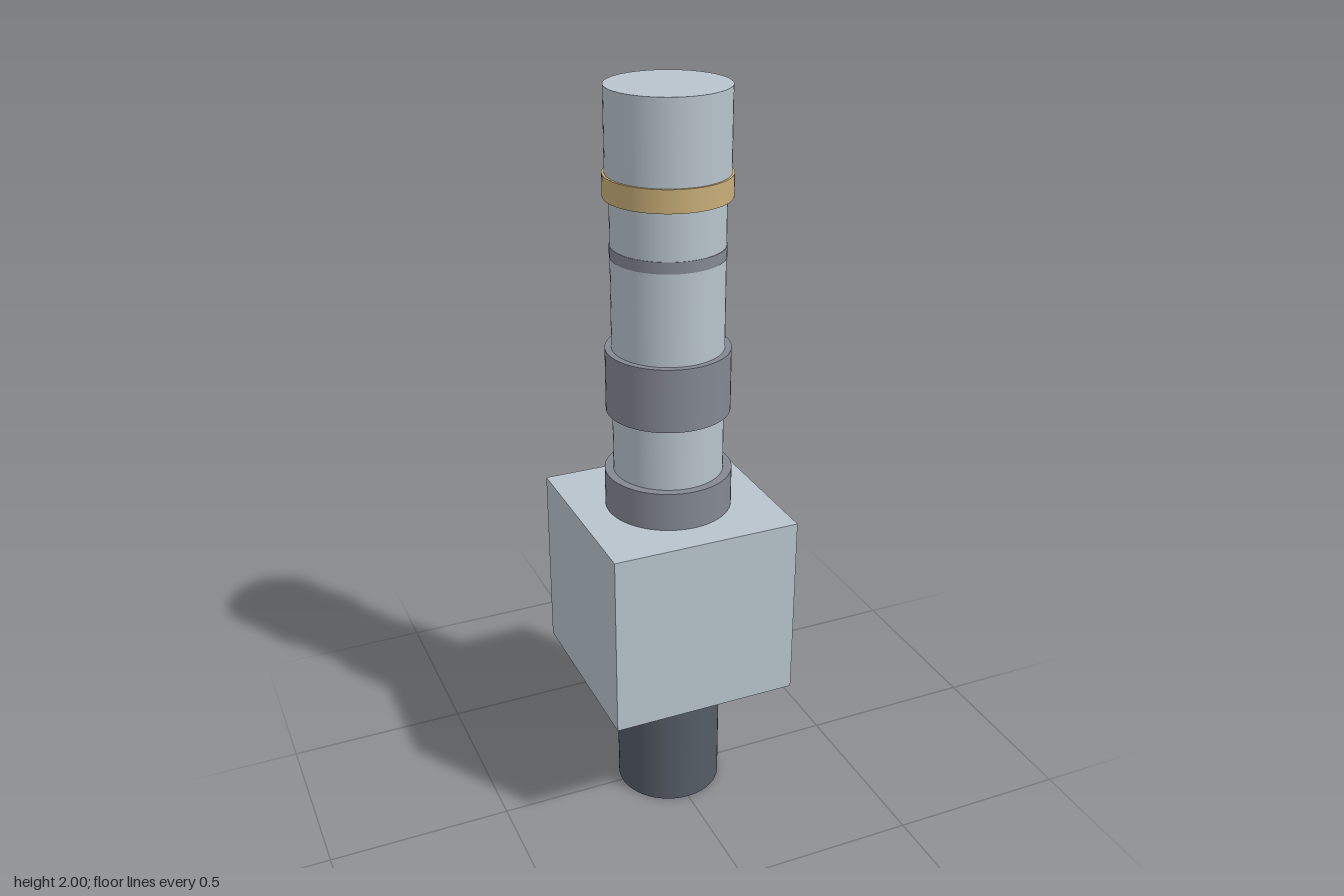
import * as THREE from 'three';

export function createModel() {
  const model = new THREE.Group();
  const mat = (color) => new THREE.MeshStandardMaterial({ color });
  const steel = mat(0xb8c4cc);
  const grey = mat(0x838892);
  const dark = mat(0x555c66);
  const brass = mat(0xc8ae78);

  const add = (name, geometry, material, y) => {
    const mesh = new THREE.Mesh(geometry, material);
    mesh.name = name;
    mesh.position.y = y;
    model.add(mesh);
  };

  // Upright round sections: name, radius, bottom, top, material
  const sections = [
    ['lowerShaft', 0.145, 0, 0.385, dark],
    ['baseCollar', 0.168, 0.895, 1.0, grey],
    ['barrel', 0.145, 0.895, 1.79, steel],
    ['gripRing', 0.162, 1.17, 1.34, grey],
    ['markerBand', 0.1465, 1.58, 1.61, grey],
    ['brassRing', 0.161, 1.732, 1.79, brass],
    ['headCap', 0.155, 1.785, 2.0, steel],
  ];
  for (const [name, r, y0, y1, material] of sections) {
    add(name, new THREE.CylinderGeometry(r, r, y1 - y0, 64), material, (y0 + y1) / 2);
  }

  // Square housing block
  add('housingBlock', new THREE.BoxGeometry(0.512, 0.51, 0.512), steel, 0.64);

  return model;
}
